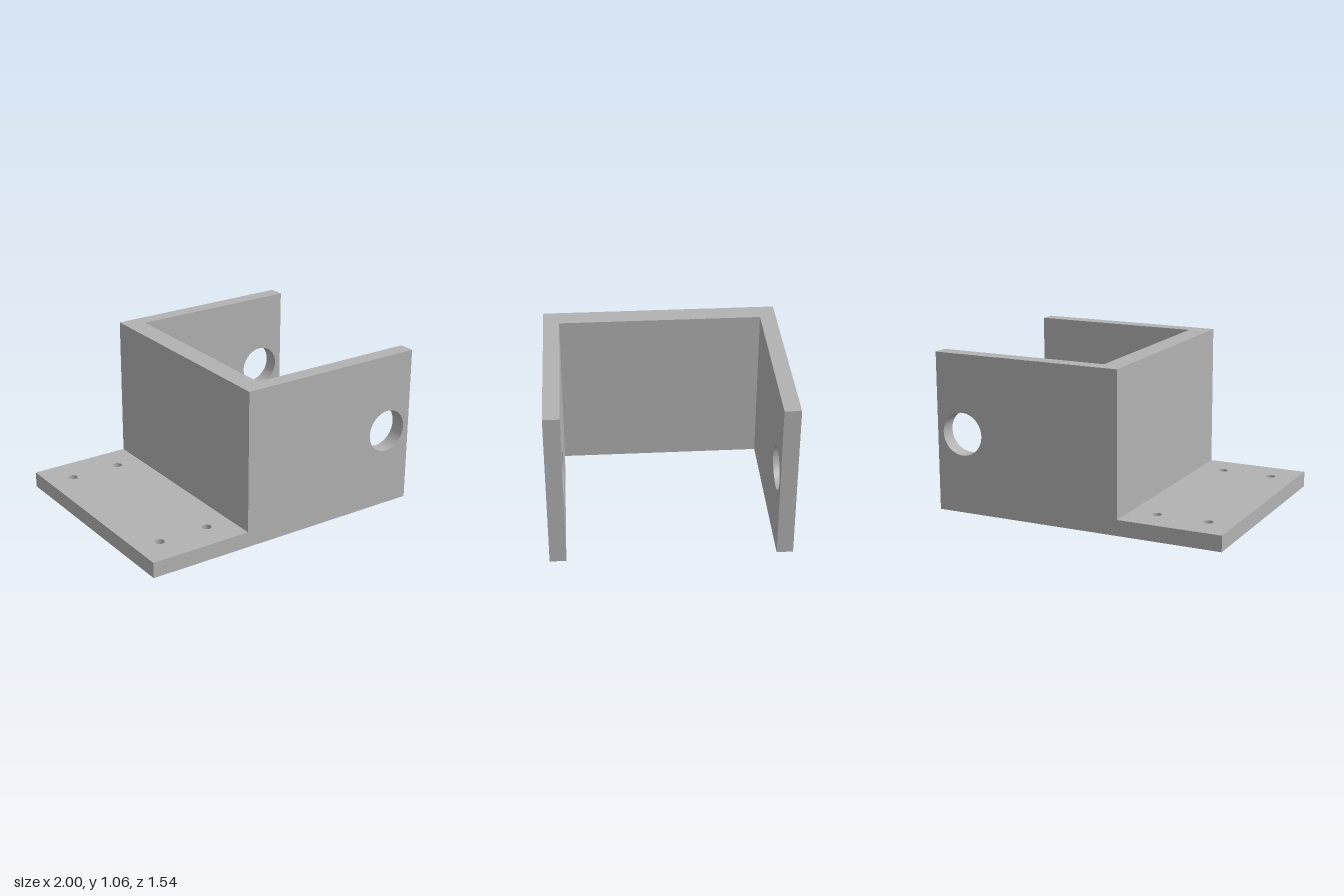
import * as THREE from 'three';
import { toCreasedNormals } from 'three/addons/utils/BufferGeometryUtils.js';

const HEIGHT = 1.06, PLATE = 0.105, HALF_Z = 0.77, ARM = 0.105;
const WALL_X0 = -0.3, WALL_X1 = -0.16;

// Rectangular slab with round holes, extruded along z from 0 to depth
function slab(x0, y0, x1, y1, holes, depth) {
  const shape = new THREE.Shape([
    new THREE.Vector2(x0, y0), new THREE.Vector2(x1, y0),
    new THREE.Vector2(x1, y1), new THREE.Vector2(x0, y1),
  ]);
  for (const [x, y, r] of holes) {
    shape.holes.push(new THREE.Path().absarc(x, y, r, 0, Math.PI * 2, true));
  }
  const geo = new THREE.ExtrudeGeometry(shape, { depth, bevelEnabled: false, curveSegments: 40 });
  return toCreasedNormals(geo, 0.6);
}

export function createModel() {
  const group = new THREE.Group();
  group.name = 'mountingBracket';
  const grey = new THREE.MeshStandardMaterial({ color: 0xb2b2b2 });
  grey.name = 'grey';

  const add = (name, geo) => {
    const mesh = new THREE.Mesh(geo, grey);
    mesh.name = name;
    group.add(mesh);
    return mesh;
  };

  // Base plate with four screw holes
  const screws = [];
  for (const x of [-0.825, -0.475]) {
    for (const z of [-0.56, 0.56]) screws.push([x, z, 0.032]);
  }
  add('basePlate', slab(-1, -HALF_Z, WALL_X0, HALF_Z, screws, PLATE).rotateX(-Math.PI / 2));

  // Upright wall joining the two arms
  const wall = new THREE.BoxGeometry(WALL_X1 - WALL_X0, HEIGHT, 2 * (HALF_Z - ARM));
  add('uprightWall', wall).position.set((WALL_X0 + WALL_X1) / 2, HEIGHT / 2, 0);

  // Side arms, each with a pivot hole
  for (const [name, z] of [['frontArm', HALF_Z - ARM], ['backArm', -HALF_Z]]) {
    add(name, slab(WALL_X0, 0, 1, HEIGHT, [[0.815, HEIGHT / 2, 0.143]], ARM)).position.z = z;
  }
  return group;
}
